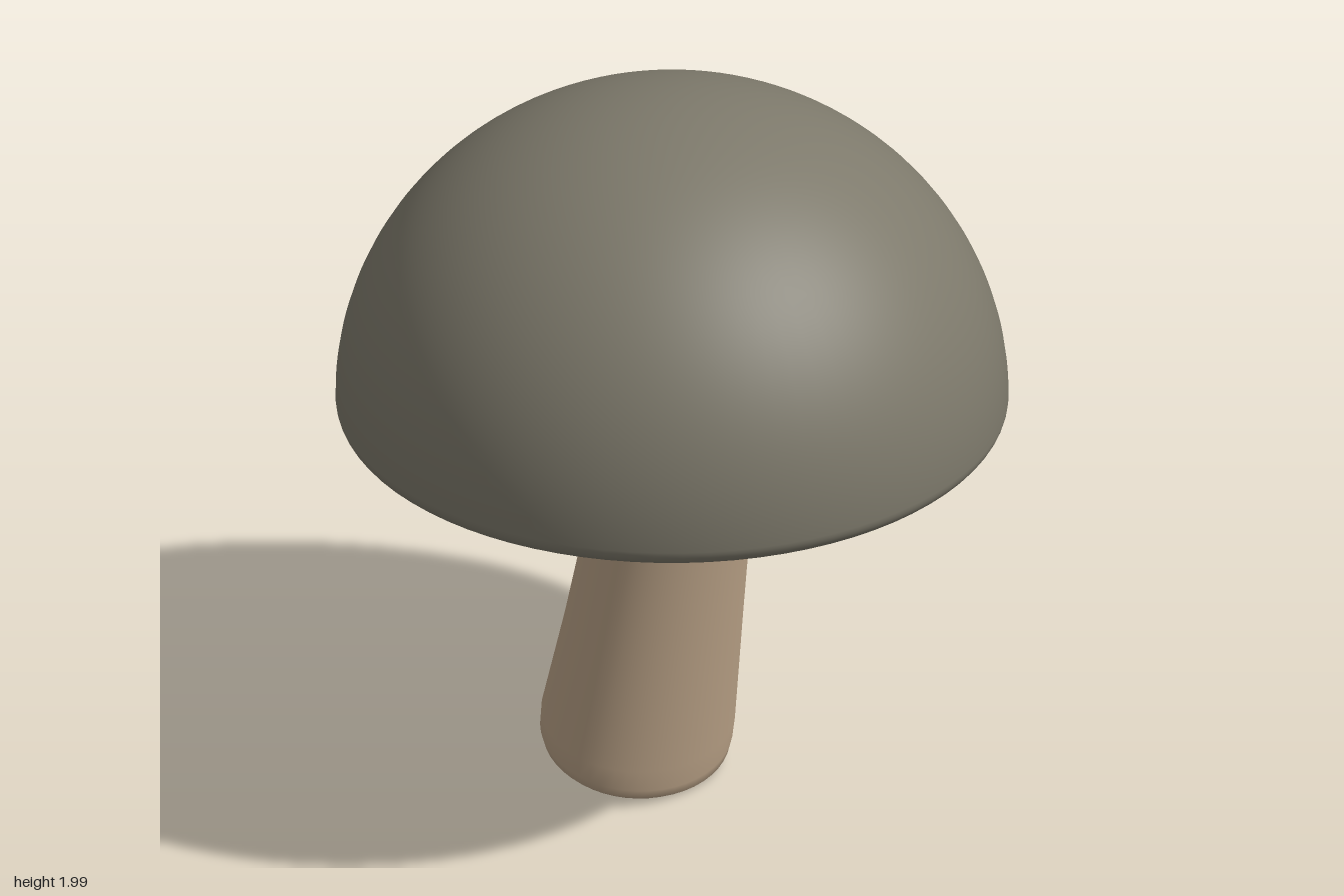
import * as THREE from 'three';

const V = (x, y) => new THREE.Vector2(x, y);

// Quarter-ellipse points around (0, cy), from angle a0 to a1
function arc(cx, cy, rx, ry, a0, a1, n) {
  return Array.from({ length: n + 1 }, (_, i) => {
    const a = a0 + (a1 - a0) * i / n;
    return V(Math.max(0, cx + rx * Math.cos(a)), cy + ry * Math.sin(a));
  });
}

// Smooth skin over elliptical rings [cx, cy, rx, rz, slope of the ring along x]
function loft(rings, cz, seg) {
  const pos = [], index = [];
  for (const [cx, cy, rx, rz, slope] of rings) {
    for (let j = 0; j < seg; j++) {
      const a = j / seg * Math.PI * 2, dx = rx * Math.cos(a);
      pos.push(cx + dx, cy + slope * dx, cz + rz * Math.sin(a));
    }
  }
  for (let i = 0; i < rings.length - 1; i++) {
    for (let j = 0; j < seg; j++) {
      const a = i * seg + j, b = i * seg + (j + 1) % seg;
      index.push(a, a + seg, b, b, a + seg, b + seg);
    }
  }
  const g = new THREE.BufferGeometry();
  g.setAttribute('position', new THREE.Float32BufferAttribute(pos, 3));
  g.setIndex(index);
  g.computeVertexNormals();
  return g;
}

export function createModel() {
  const group = new THREE.Group();
  const add = (name, geometry, color) => {
    const mesh = new THREE.Mesh(geometry, new THREE.MeshStandardMaterial({ color }));
    mesh.name = name;
    group.add(mesh);
  };
  const H = Math.PI / 2;

  // Domed cap with a rounded lower lip
  add('cap', new THREE.LatheGeometry([
    V(0.72, 1.085), V(0.8, 1.085),
    ...arc(0.855, 1.135, 0.05, 0.05, -H, 0, 8),
    ...arc(0, 1.14, 0.905, 0.86, 0.03, H, 40),
  ], 80), 0x7d796b);

  // Hollow underside: bowl, then rounded rim
  add('gills', new THREE.LatheGeometry([
    ...arc(0, 1.05, 0.7, 0.58, H, 0, 28),
    ...arc(0.72, 1.05, 0.02, 0.02, Math.PI, Math.PI + H, 5),
    ...arc(0.755, 1.06, 0.03, 0.03, -H, 0, 6),
    V(0.785, 1.1),
  ], 80), 0x5e4e35);

  // Bent, tapering oval stem with a slanted foot
  add('stem', loft([
    [-0.07, 0.09, 0, 0, -0.38],
    [-0.07, 0.087, 0.1, 0.14, -0.38],
    [-0.07, 0.083, 0.175, 0.245, -0.38],
    [-0.07, 0.087, 0.2, 0.275, -0.38],
    [-0.07, 0.1, 0.214, 0.29, -0.38],
    [-0.07, 0.125, 0.22, 0.298, -0.37],
    [-0.063, 0.18, 0.222, 0.3, -0.33],
    [-0.005, 0.5, 0.207, 0.275, -0.15],
    [0.047, 0.8, 0.197, 0.253, -0.02],
    [0.054, 0.84, 0.196, 0.25, 0],
    [0.048, 0.88, 0.192, 0.245, 0],
    [0.0225, 1.03, 0.178, 0.232, 0],
    [-0.01, 1.2, 0.165, 0.21, 0],
    [-0.065, 1.4, 0.138, 0.17, 0],
    [-0.11, 1.55, 0.1, 0.12, 0],
    [-0.14, 1.66, 0.07, 0.08, 0],
    [-0.14, 1.66, 0, 0, 0],
  ], 0.065, 48), 0xb9a186);

  return group;
}
